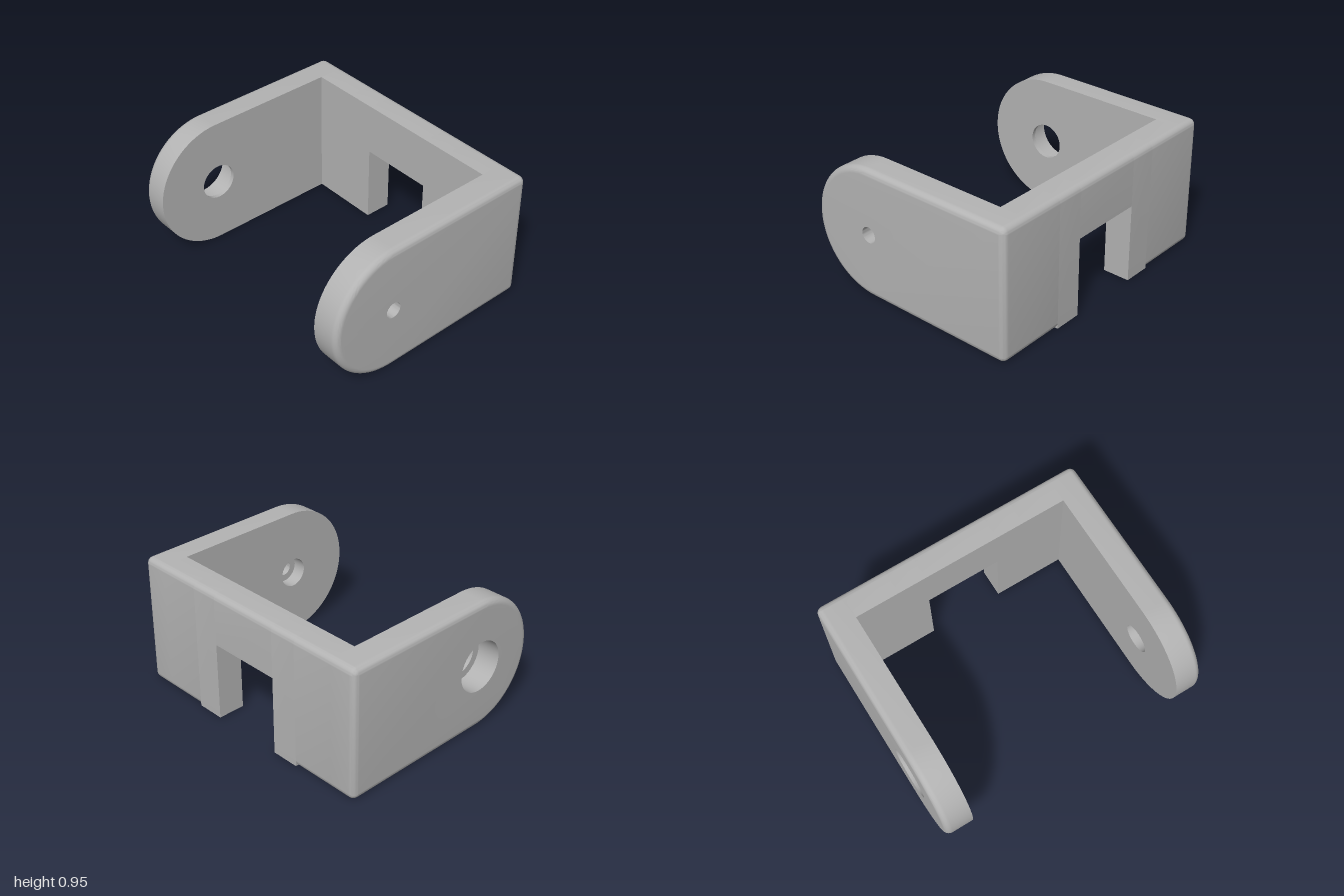
import * as THREE from 'three';
import { mergeGeometries, toCreasedNormals } from 'three/addons/utils/BufferGeometryUtils.js';

// Dimensions, with y measured from mid height
const H = 0.4775;      // half height and radius of the arm ends
const X = 0.8175;      // outer face of the web
const XI = 0.6175;     // inner face of the web
const CX = -0.34;      // centre of the arm ends and holes
const Z = 1, ZI = 0.8; // outer and inner faces of the arms
const R = 0.045;       // edge rounding

// Points along a circular arc, angles in quarter turns
function arc(cx, cy, r, q0, q1, n) {
  return Array.from({ length: n + 1 }, (_, i) => {
    const a = (q0 + (q1 - q0) * i / n) * Math.PI / 2;
    return new THREE.Vector2(cx + r * Math.cos(a), cy + r * Math.sin(a));
  });
}

// Arm outline, anticlockwise, shrunk by an inset
function armOutline(inset) {
  return [
    ...arc(X - R, -H + R, R - inset, -1, 0, 8),
    ...arc(X - R, H - R, R - inset, 0, 1, 8),
    ...arc(CX, 0, H - inset, 1, 3, 64),
  ];
}

// Side wall with its outer edge rounded over
function armWall() {
  const rings = [[0, ZI]];
  for (let k = 0; k <= 8; k++) {
    const a = k / 8 * Math.PI / 2;
    rings.push([R * (1 - Math.cos(a)), Z - R + R * Math.sin(a)]);
  }
  const pos = [], idx = [];
  const n = armOutline(0).length;
  rings.forEach(([inset, z], k) => {
    armOutline(inset).forEach((p) => pos.push(p.x, p.y, z));
    if (k === 0) return;
    for (let i = 0; i < n; i++) {
      const a = (k - 1) * n + i, b = (k - 1) * n + (i + 1) % n;
      idx.push(a, b, b + n, a, b + n, a + n);
    }
  });
  const g = new THREE.BufferGeometry();
  g.setAttribute('position', new THREE.Float32BufferAttribute(pos, 3));
  g.setIndex(idx);
  return g;
}

// Flat face with a round hole
function face(points, holeRadius) {
  const s = new THREE.Shape(points);
  s.holes.push(new THREE.Path(arc(CX, 0, holeRadius, 4, 0, 48).slice(0, -1)));
  return new THREE.ShapeGeometry(s);
}

// Arm facing +z with a stepped hole: outer radius, step position, inner radius
function armGeometry(rOut, zStep, rIn) {
  const bore = new THREE.LatheGeometry([
    new THREE.Vector2(rOut, Z), new THREE.Vector2(rOut, zStep),
    new THREE.Vector2(rIn, zStep), new THREE.Vector2(rIn, ZI),
  ], 48).rotateX(Math.PI / 2).translate(CX, 0, 0);
  const innerOutline = [
    new THREE.Vector2(XI, -H), new THREE.Vector2(XI, H), ...arc(CX, 0, H, 1, 3, 64),
  ];
  const parts = [
    armWall(),
    face(armOutline(R), rOut).translate(0, 0, Z),
    face(innerOutline, rIn).rotateX(Math.PI).translate(0, 0, ZI),
    bore,
  ].map((g) => {
    const p = g.toNonIndexed();
    p.deleteAttribute('uv');
    p.deleteAttribute('normal');
    return p;
  });
  return toCreasedNormals(mergeGeometries(parts), 0.5);
}

// Stretch of web between z0 and z1, bottom edge rounded or square
function webGeometry(z0, z1, bottom, rounded) {
  const outer = rounded ? arc(X - R, bottom + R, R, -1, 0, 8) : [new THREE.Vector2(X, bottom)];
  const s = new THREE.Shape([
    new THREE.Vector2(XI, bottom), ...outer,
    ...arc(X - R, H - R, R, 0, 1, 8), new THREE.Vector2(XI, H),
  ]);
  const g = new THREE.ExtrudeGeometry(s, { depth: z1 - z0, bevelEnabled: false });
  return toCreasedNormals(g.translate(0, 0, z0), 0.5);
}

export function createModel() {
  const model = new THREE.Group();
  model.name = 'bracket';
  const grey = new THREE.MeshStandardMaterial({ color: 0xb3b3b3 });
  grey.name = 'grey';
  const add = (name, geometry) => {
    const m = new THREE.Mesh(geometry, grey);
    m.name = name;
    m.position.y = H;
    model.add(m);
  };

  // Arms: small hole opening wider inside, large recess on the outside
  add('frontArm', armGeometry(0.058, 0.9, 0.108));
  add('backArm', armGeometry(0.185, 0.83, 0.13).rotateX(Math.PI));

  // Web with a central notch, square-edged beside it
  const notchTop = 0.575 - H;
  add('webOverNotch', webGeometry(-0.275, 0.275, notchTop, false));
  add('frontWebFoot', webGeometry(0.275, 0.48, -H, false));
  add('backWebFoot', webGeometry(-0.48, -0.275, -H, false));
  add('frontWebSide', webGeometry(0.48, ZI, -H, true));
  add('backWebSide', webGeometry(-ZI, -0.48, -H, true));
  return model;
}
